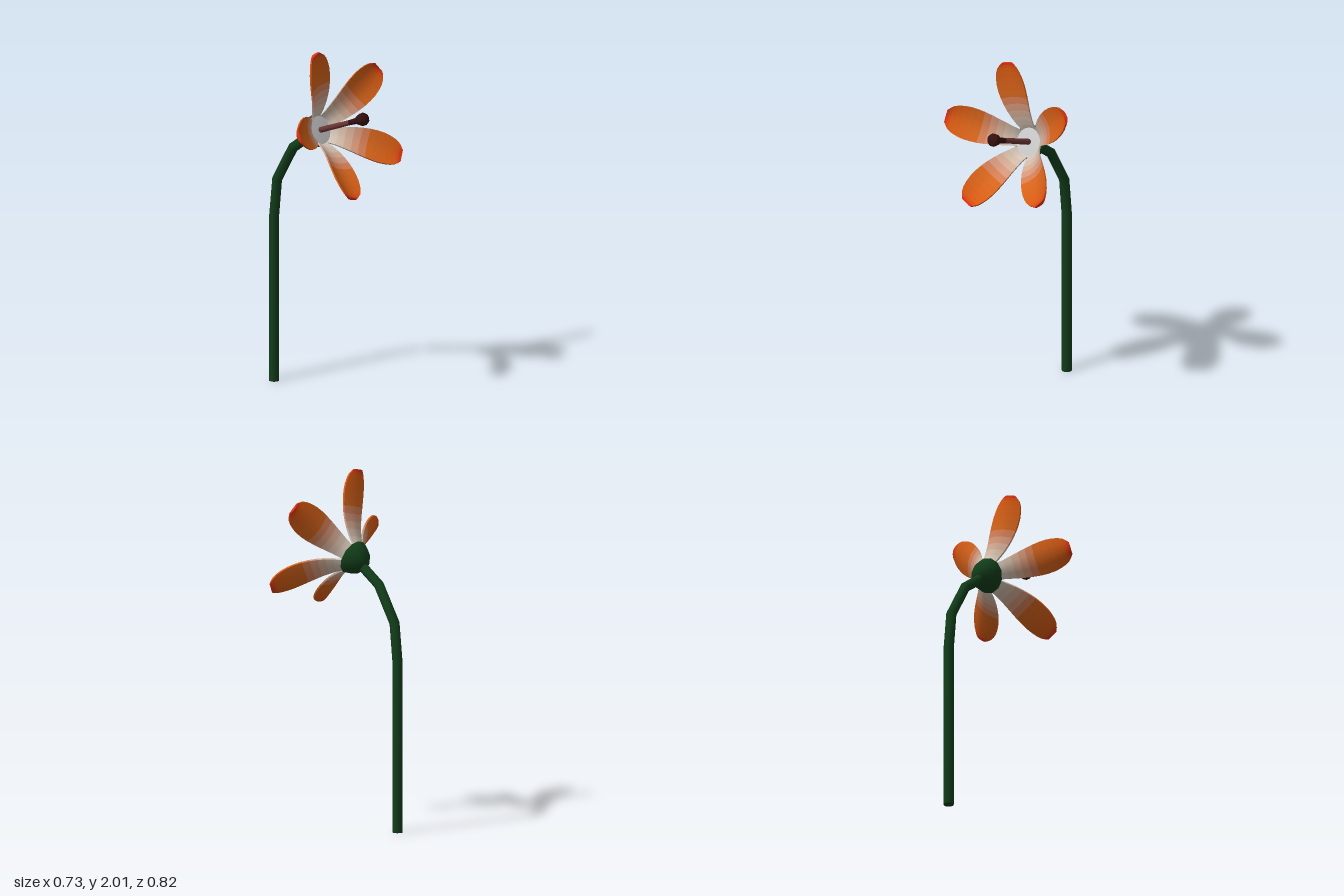
import * as THREE from 'three';
import { toCreasedNormals } from 'three/addons/utils/BufferGeometryUtils.js';

const V = (x, y, z) => new THREE.Vector3(x, y, z);
const mat = (color) => new THREE.MeshStandardMaterial({ color });

// Skin closed rings of equal length and cap both ends; one material group per band
function loft(rings, crease) {
  const n = rings[0].length, last = rings.length - 1;
  const pos = rings.flat().flatMap((p) => [p.x, p.y, p.z]);
  const index = [];
  const geo = new THREE.BufferGeometry();
  for (let i = 0; i < last; i++) {
    const start = index.length;
    for (let j = 0; j < n; j++) {
      const a = i * n + j, b = i * n + (j + 1) % n;
      index.push(a, b, b + n, a, b + n, a + n);
    }
    if (i === 0) for (let j = 1; j < n - 1; j++) index.push(0, j + 1, j);
    if (i === last - 1) for (let j = 1; j < n - 1; j++) index.push(last * n, last * n + j, last * n + j + 1);
    geo.addGroup(start, index.length - start, i);
  }
  geo.setAttribute('position', new THREE.Float32BufferAttribute(pos, 3));
  geo.setIndex(index);
  return toCreasedNormals(geo, crease);
}

// Bent stem: rings set square to the mean direction at each joint
function makeStem() {
  const path = [[-0.327, 0], [-0.327, 0.96], [-0.305, 1.18], [-0.19, 1.385], [-0.05, 1.49]].map(([x, y]) => V(x, y, -0.03));
  const side = V(0, 0, 1);
  const rings = path.map((p, i) => {
    const t = V(0, 0, 0);
    if (i > 0) t.add(p.clone().sub(path[i - 1]).normalize());
    if (i < path.length - 1) t.add(path[i + 1].clone().sub(p).normalize());
    const e2 = t.normalize().clone().cross(side);
    return Array.from({ length: 10 }, (_, k) => {
      const a = k / 10 * Math.PI * 2;
      return p.clone().addScaledVector(side, 0.029 * Math.cos(a)).addScaledVector(e2, 0.029 * Math.sin(a));
    });
  });
  const geo = loft(rings, 0.8);
  geo.clearGroups();
  const stem = new THREE.Mesh(geo, mat(0x123d1a));
  stem.name = 'stem';
  return stem;
}

// Petal: cupped thin cross-sections along an outward-flaring curve
const BANDS = 14;
function petalGeometry() {
  // x = half width, y = height along the flower axis, z = distance from it
  const curve = new THREE.CatmullRomCurve3([
    V(0.042, -0.04, 0.055), V(0.05, 0.02, 0.092), V(0.072, 0.085, 0.165), V(0.09, 0.136, 0.25),
    V(0.092, 0.178, 0.335), V(0.07, 0.212, 0.405), V(0.035, 0.227, 0.438),
  ]);
  const pts = curve.getPoints(BANDS);
  const cols = [1, 0.5, 0, -0.5, -1];
  const rings = pts.map((p, i) => {
    const a = pts[Math.max(i - 1, 0)], b = pts[Math.min(i + 1, BANDS)];
    const t = V(0, b.y - a.y, b.z - a.z).normalize();
    const at = (s, h) => {
      const lift = 0.28 * p.x * s * s + h;
      return V(p.x * s, p.y + t.z * lift, p.z - t.y * lift);
    };
    return [...cols.map((s) => at(s, 0.005)), ...cols.map((s) => at(-s, -0.005))];
  });
  return loft(rings, 0.8);
}

// Pale base through orange to a red tip
function petalMaterials() {
  const stops = [[0, 0xd8d4d0], [0.26, 0xd0b8a4], [0.52, 0xd4641c], [0.84, 0xd4560f], [1, 0xdc2010]];
  return Array.from({ length: BANDS }, (_, i) => {
    const t = (i + 0.5) / BANDS;
    const k = stops.findIndex((s) => s[0] > t);
    const [t0, c0] = stops[k - 1], [t1, c1] = stops[k];
    return mat(new THREE.Color(c0).lerp(new THREE.Color(c1), (t - t0) / (t1 - t0)));
  });
}

function lathe(name, profile, sides, color) {
  const geo = new THREE.LatheGeometry(profile.map(([r, y]) => new THREE.Vector2(r, y)), sides);
  const mesh = new THREE.Mesh(geo, mat(color));
  mesh.name = name;
  return mesh;
}

export function createModel() {
  const model = new THREE.Group();
  model.name = 'flower';
  model.add(makeStem());

  // Blossom, built along +y and then tipped towards +x
  const blossom = new THREE.Group();
  blossom.name = 'blossom';
  blossom.position.set(-0.005, 1.52, -0.03);
  blossom.rotation.z = -THREE.MathUtils.degToRad(68.5);

  // Green cup behind the petals
  blossom.add(lathe('calyx', [[0, -0.095], [0.035, -0.09], [0.07, -0.058], [0.09, -0.025], [0.1, 0.006], [0.085, 0.004], [0, -0.01]], 12, 0x123d1a));

  // Pale floor of the blossom
  blossom.add(lathe('blossomCentre', [[0.088, 0.012], [0.04, 0.014], [0, 0.014]], 12, 0xdadada));

  // Five petals
  const geo = petalGeometry(), mats = petalMaterials();
  for (let k = 0; k < 5; k++) {
    const petal = new THREE.Mesh(geo, mats);
    petal.name = 'petal' + (k + 1);
    petal.rotation.y = THREE.MathUtils.degToRad(15 + 72 * k - 90);
    blossom.add(petal);
  }

  // Pistil with a flared, rounded head
  blossom.add(lathe('pistilStalk', [[0.017, 0], [0.016, 0.14], [0.015, 0.24]], 10, 0x6a3434));
  blossom.add(lathe('pistilHead', [[0.015, 0.24], [0.018, 0.29], [0.034, 0.325], [0.038, 0.345], [0.03, 0.362], [0, 0.37]], 10, 0x35100f));

  model.add(blossom);
  return model;
}
